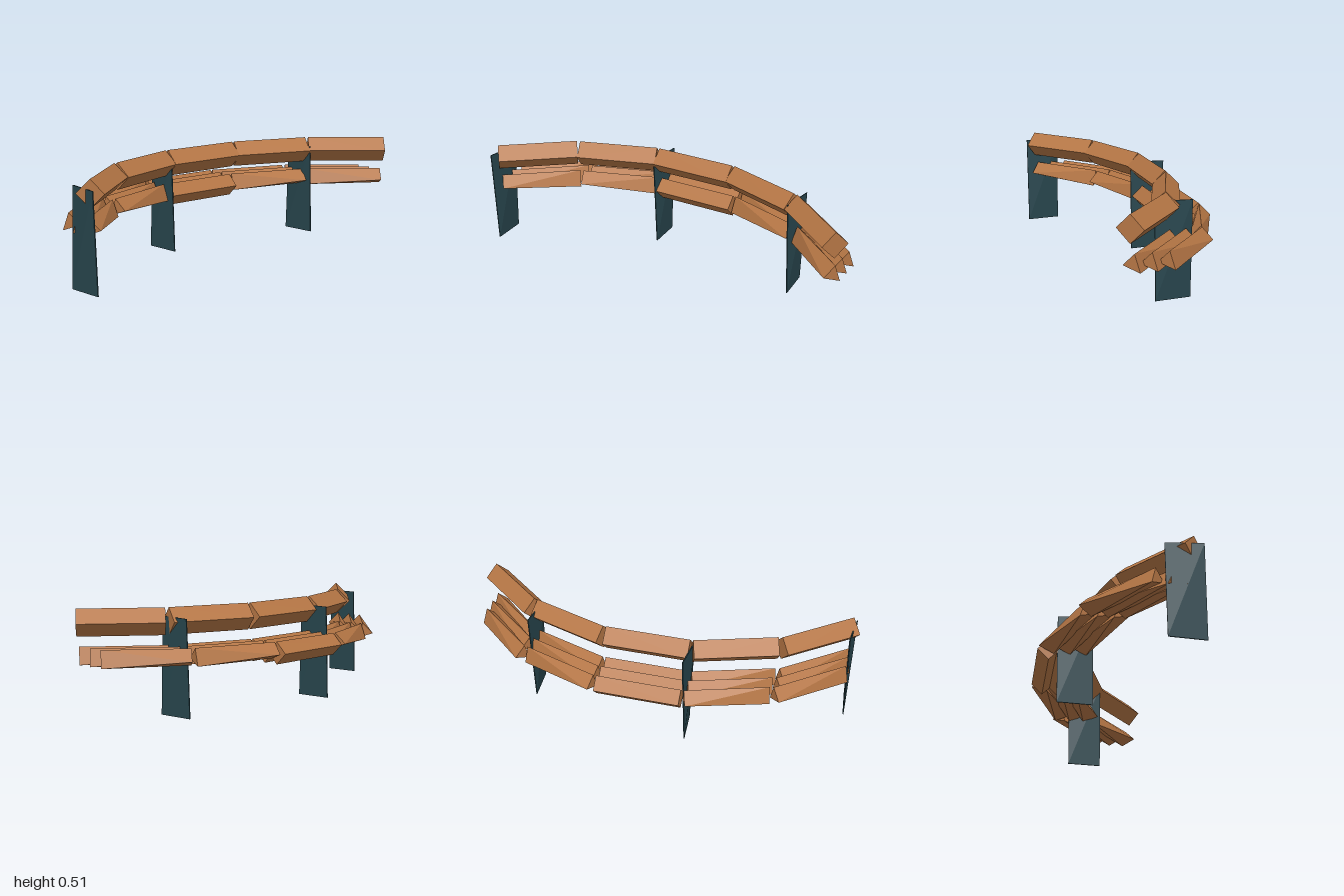
import * as THREE from 'three';

const wood = new THREE.MeshStandardMaterial({ color: 0xb57645, flatShading: true });
wood.name = 'warm wood';
const metal = new THREE.MeshStandardMaterial({ color: 0x28464e, flatShading: true, side: THREE.DoubleSide });
metal.name = 'dark teal metal';

// Sections are [front offset, height] in the order top, front, bottom, back
const diamond = [[0, 1], [1, 0], [0, -1], [-1, 0]];
const cutBack = [[0, 1], [1, 0], [-0.5, -0.5], [-0.5, -0.5]];
const cutFront = [[0, 1], [0.5, -0.5], [0.5, -0.5], [-1, 0]];

// Straight beam from a to b ([x, z], left to right), with a section at each end
function beam(a, b, y, r, secA, secB, flip) {
  const d = new THREE.Vector2(b[0] - a[0], b[1] - a[1]).normalize();
  const ring = (p, sec) => sec.map(([u, v]) => [p[0] - d.y * u * r, y + v * r, p[1] + d.x * u * r]);
  const A = ring(a, secA), B = ring(b, secB);
  const out = [];
  const tri = (...pts) => pts.forEach((p) => out.push(...p));
  for (let i = 0; i < 4; i++) {
    const j = (i + 1) % 4;
    if (flip) {
      tri(A[i], A[j], B[i]);
      tri(A[j], B[j], B[i]);
    } else {
      tri(A[i], A[j], B[j]);
      tri(A[i], B[j], B[i]);
    }
  }
  tri(B[0], B[1], B[2]);
  tri(B[0], B[2], B[3]);
  tri(A[0], A[2], A[1]);
  tri(A[0], A[3], A[2]);
  const g = new THREE.BufferGeometry();
  g.setAttribute('position', new THREE.Float32BufferAttribute(out, 3));
  g.computeVertexNormals();
  return new THREE.Mesh(g, wood);
}

// Side pieces of the bench curve: inner and outer end [x, z], z relative to the middle piece
const sidePieces = [
  [[0.228, 0], [0.621, 0.135]],
  [[0.64, 0.139], [0.954, 0.402]],
];

// A row of five beams along the curve
function row(name, z, y, r, inner, outer) {
  const g = new THREE.Group();
  g.name = name;
  const add = (mesh, n) => { mesh.name = n; g.add(mesh); };
  add(beam([-0.214, z], [0.214, z], y, r, diamond, diamond), name + 'Middle');
  sidePieces.forEach(([p, q], i) => {
    add(beam([p[0], p[1] + z], [q[0], q[1] + z], y, r, inner, outer, false), name + 'Left' + (i + 1));
    add(beam([-q[0], q[1] + z], [-p[0], p[1] + z], y, r, outer, inner, true), name + 'Right' + (i + 1));
  });
  return g;
}

// Thin upright plate with a slight twist from bottom to top
function leg(x, z) {
  const h = 0.47, w = 0.176;
  const g = new THREE.BoxGeometry(0.005, h, w);
  const p = g.attributes.position;
  for (let i = 0; i < p.count; i++) {
    p.setX(i, p.getX(i) - 0.008 * Math.sign(p.getY(i)) * Math.sign(p.getZ(i)));
  }
  g.computeVertexNormals();
  const m = new THREE.Mesh(g, metal);
  m.position.set(x, h / 2, z);
  return m;
}

export function createModel() {
  const model = new THREE.Group();
  model.name = 'curvedBench';

  // Three seat slats, wedge-cut at the ends of the side pieces
  for (let i = 0; i < 3; i++) {
    model.add(row('seatSlat' + (i + 1), -0.287 + i * 0.078, 0.285, 0.055, cutFront, cutBack));
  }
  // Thicker backrest rail
  model.add(row('backrest', -0.112, 0.45, 0.065, diamond, diamond));

  // Three legs
  [[-0.961, 0.245], [-0.216, -0.157], [0.621, -0.017]].forEach(([x, z], i) => {
    const l = leg(x, z);
    l.name = 'leg' + (i + 1);
    model.add(l);
  });
  return model;
}
